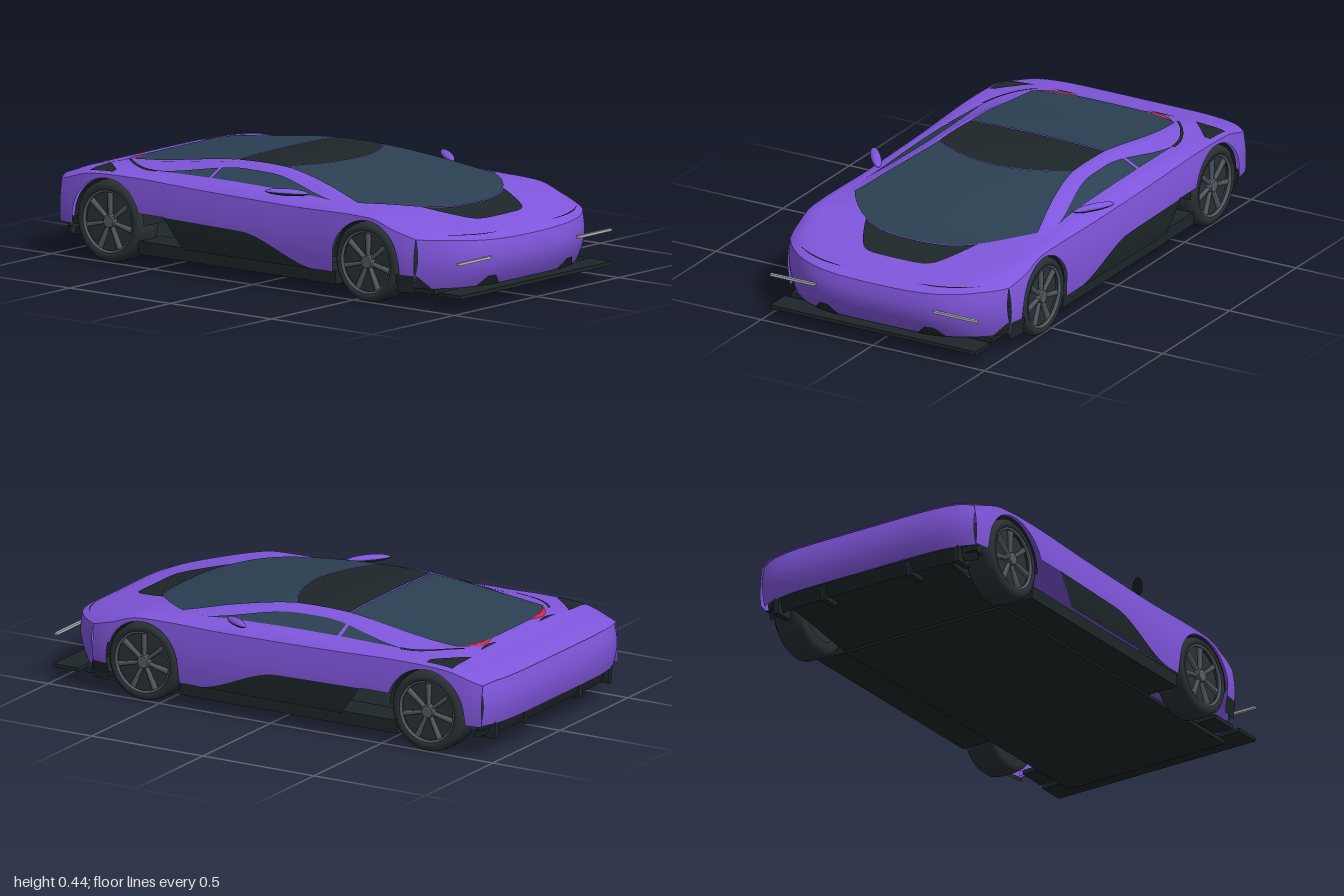
import * as THREE from 'three';

const flat = (name, color) => Object.assign(new THREE.MeshStandardMaterial({ color, side: THREE.DoubleSide }), { name });
const M = {
  paint: flat('purple paint', 0x7f56dc),
  trim: flat('black trim', 0x1d2629),
  glass: flat('tinted glass', 0x2b4053),
  tyre: flat('tyre rubber', 0x2a3135),
  rim: flat('grey rim', 0x535b63),
  red: flat('red lamp', 0xe0233f),
  lamp: flat('pale lamp', 0xb4b9bb),
};

// Length stations: centre height, roof edge x/y, belt x/y, plan half-width, shoulder height
const T = [-1, -0.95, -0.85, -0.78, -0.6, -0.25, 0, 0.25, 0.45, 0.57, 0.69, 0.82, 0.93, 0.985];
const ROWS = [
  .315, .30, .315, .42, .313, .495, .300,
  .330, .30, .330, .42, .328, .503, .312,
  .352, .31, .352, .42, .348, .512, .335,
  .370, .33, .366, .42, .357, .514, .344,
  .392, .335, .384, .425, .362, .515, .350,
  .433, .325, .425, .435, .370, .512, .340,
  .435, .32, .427, .435, .368, .510, .335,
  .412, .36, .395, .435, .360, .508, .332,
  .378, .415, .356, .45, .350, .508, .335,
  .353, .40, .348, .455, .345, .508, .333,
  .326, .36, .330, .45, .332, .510, .322,
  .297, .33, .305, .44, .310, .508, .300,
  .272, .305, .280, .43, .285, .500, .283,
  .250, .30, .260, .42, .268, .490, .270,
];
const spline = new THREE.CubicInterpolant(T, ROWS, 7);
const station = t => [...spline.evaluate(t)];
const { lerp, clamp, smoothstep } = THREE.MathUtils;
const FRONT = 0.985, REAR = -1;
const WHEELS = [{ z: 0.57, r: 0.157, arch: 0.163 }, { z: -0.71, r: 0.162, arch: 0.171 }];

// Upper skin point for plan position x at station t, with the ends rounded in plan
function skin(x, t, lift = 0) {
  const [yc, xr, yr, xb, yb, w, ye] = station(t);
  const a = Math.abs(x);
  let y;
  if (a <= xr) y = yc + (yr - yc) * (a / xr) ** 2;
  else if (a <= xb) y = lerp(yr, yb, (a - xr) / (xb - xr));
  else y = yb + (ye - yb) * Math.min(1, (a - xb) / (w - xb)) ** 2;
  const z = t - 0.2 * (a / 0.5) ** 4 * clamp((t - 0.6) / 0.385, 0, 1)
    + 0.05 * (a / 0.5) ** 6 * clamp((-t - 0.8) / 0.2, 0, 1);
  return [x, y + lift, z];
}

// Column u in -1..1 follows the roof edge and belt lines
function column(u, t) {
  const [, xr, , xb, , w] = station(t), a = Math.abs(u);
  const x = a < 0.5 ? xr * a * 2 : a < 0.75 ? lerp(xr, xb, (a - 0.5) * 4) : lerp(xb, w, (a - 0.75) * 4);
  return Math.sign(u) * x;
}

// Lower edge of the side skin: sill, side opening, tail and wheel arches
function lowerEdge(z) {
  let y = z < -0.86 ? 0.135 : z > 0.7 ? 0.075 : 0.1;
  if (z < -0.33 && z > -0.56) y = lerp(0.1, 0.215, clamp((-0.33 - z) / 0.09, 0, 1));
  for (const w of WHEELS) {
    const d = Math.abs(z - w.z);
    if (d < w.arch) y = Math.max(y, w.r + Math.sqrt(w.arch ** 2 - d * d));
  }
  return y;
}
function side(s, t, y, lift = 0) {
  const [, , , , , w, ye] = station(t);
  const k = clamp((ye - y) / (ye - 0.08), 0, 1);
  return [s * (w + 0.011 * Math.sin(Math.PI * k) + lift), y, skin(w, t)[2]];
}
function nose(x, v, lift = 0) {
  const [, y, z] = skin(x, FRONT);
  return [x, lerp(y, 0.075, v), z + 0.015 * Math.sin(Math.PI * v) - 0.03 * v * v + lift];
}
function tail(x, v) {
  const [, y, z] = skin(x, REAR);
  return [x, lerp(y, 0.135, v), z + 0.02 - 0.022 * Math.sin(Math.PI * Math.min(1, v * 0.8 + 0.1))];
}

// Sheet from a function of u, v in 0..1; faces along dv x du
function sheet(nu, nv, fn) {
  const p = [], idx = [];
  for (let i = 0; i <= nv; i++) for (let j = 0; j <= nu; j++) p.push(...fn(j / nu, i / nv));
  for (let i = 0; i < nv; i++) for (let j = 0; j < nu; j++) {
    const a = i * (nu + 1) + j, c = a + nu + 1;
    idx.push(a, c, a + 1, a + 1, c, c + 1);
  }
  const g = new THREE.BufferGeometry();
  g.setAttribute('position', new THREE.Float32BufferAttribute(p, 3));
  g.setIndex(idx);
  g.computeVertexNormals();
  return g;
}

export function createModel() {
  const car = new THREE.Group();
  car.name = 'sportsCar';
  const add = (name, geo, mat, parent = car) => {
    const m = new THREE.Mesh(geo, mat);
    m.name = name;
    parent.add(m);
    return m;
  };
  const box = (name, mat, x0, x1, y0, y1, z0, z1) => add(name, new THREE.BoxGeometry(x1 - x0, y1 - y0, z1 - z0)
    .translate((x0 + x1) / 2, (y0 + y1) / 2, (z0 + z1) / 2), mat);
  // Thin plate laid on the upper skin; f maps u, v to plan x and station
  const plate = (name, mat, f, nu = 32, nv = 24) =>
    add(name, sheet(nu, nv, (u, v) => skin(...f(u, v), 0.004)), mat);

  // Painted shell
  add('upperBody', sheet(64, 110, (u, v) => {
    const t = lerp(REAR, FRONT, v);
    return skin(column(u * 2 - 1, t), t);
  }), M.paint);
  add('noseSkin', sheet(64, 12, (u, v) => nose(column(u * 2 - 1, FRONT), v)), M.paint);
  add('tailSkin', sheet(64, 12, (u, v) => tail(column(1 - u * 2, REAR), v)), M.paint);

  // Glass, roof and hood panel
  const screenFoot = x => 0.69 - 0.24 * Math.abs(x / 0.41) ** 2.8;
  plate('windshield', M.glass, (u, v) => {
    const s = u * 2 - 1;
    return [s * (0.3 + 0.11 * v ** 1.3), lerp(0.1 - 0.1 * s * s, 0.69 - 0.24 * Math.abs(s) ** 2.8, v)];
  });
  plate('roofPanel', M.trim, (u, v) => {
    const s = u * 2 - 1;
    return [s * 0.3, lerp(-0.235, 0.098 - 0.1 * s * s, v)];
  });
  plate('rearWindow', M.glass, (u, v) => {
    const s = u * 2 - 1;
    return [s * (0.3 + 0.022 * Math.sin(v * 2.2)), lerp(-0.24, -0.78 + 0.05 * s ** 4, v)];
  });
  plate('hoodPanel', M.trim, (u, v) => {
    const s = u * 2 - 1, x = s * lerp(0.25, 0.165, v);
    return [x, lerp(screenFoot(x) + 0.003, 0.825 - 0.03 * s ** 6, v)];
  });

  for (const s of [-1, 1]) {
    // Flanks
    add('sideSkin', sheet(260, 14, (u, v) => {
      const t = lerp(FRONT, REAR, u), [, , , , , w, ye] = station(t);
      return side(s, t, lerp(ye, Math.min(ye, lowerEdge(skin(w, t)[2])), v));
    }), M.paint);
    add('lowerDoorPanel', sheet(30, 6, (u, v) => {
      const y = lerp(0.1 + 0.1 * smoothstep(u, 0, 0.5) + 0.015 * u, 0.1, v);
      return side(s, lerp(0.33, lerp(-0.42, -0.33, v), u), y, 0.004);
    }), M.trim);
    add('bumperCorner', sheet(8, 3, (u, v) => side(s, lerp(FRONT, 0.87, u), lerp(0.13, 0.06, v), 0.004)), M.trim);
    add('bumperCornerFront', sheet(8, 2, (u, v) => nose(s * lerp(0.44, 0.49, u), lerp(1 - 0.28 * u, 1, v), 0.005)), M.trim);
    add('noseNotch', sheet(6, 3, (u, v) =>
      nose(s * (0.235 + (u - 0.5) * lerp(0.04, 0.12, v)), lerp(0.78, 1, v), 0.005)), M.trim);

    // Side glass, tapering to both ends
    const belt = t => station(t)[3] - 0.004;
    const sideGlass = (name, z0, z1) => plate(name, M.glass, (u, v) => {
      const t = lerp(z0, z1, v);
      const width = 0.075 * smoothstep(0.36 - t, 0, 0.4) * (1 - smoothstep(-t, 0.15, 0.58));
      return [s * (belt(t) - width * u), t];
    }, 8, 30);
    sideGlass('doorWindow', -0.26, 0.36);
    sideGlass('quarterWindow', -0.58, -0.275);
    plate('rearPillarVent', M.trim, (u, v) => [s * (lerp(0.425, 0.315, v * v) + 0.014 * (u - 0.5)), lerp(-0.54, -0.76, v)], 3, 16);

    // Rear lamps and deck vents
    plate('tailLamp', M.red, (u, v) => {
      const x = lerp(0.14, 0.31, u);
      return [s * x, -0.782 + 0.05 * (x / 0.32) ** 4 + 0.002 - 0.022 * v * Math.sin(Math.PI * u)];
    }, 14, 2);
    plate('lampRecess', M.trim, (u, v) => [s * lerp(0.155, 0.275, u), -0.81 + 0.014 * v * Math.sin(Math.PI * u)], 10, 2);
    plate('deckVent', M.trim, (u, v) => [s * lerp(lerp(0.36, 0.47, v), 0.495, u), lerp(-0.82, -0.7, v)], 10, 10);
    plate('headlampCrease', M.trim, (u, v) => [s * lerp(0.16, 0.42, u), 0.945 + 0.006 * v * Math.sin(Math.PI * u)], 16, 1);

    // Lamps, sills and tail fins
    box('headlampBar', M.lamp, s * 0.365 - 0.1, s * 0.365 + 0.1, 0.187, 0.197, 0.982, 0.994);
    box('sideSill', M.trim, s * 0.43 - 0.07, s * 0.43 + 0.07, 0.05, 0.102, -0.57, 0.41);
    for (const x of [0.2, 0.42]) box('diffuserFin', M.trim, s * x - 0.012, s * x + 0.012, 0.075, 0.14, -0.97, -0.89);

    // Mirror with painted cap and dark underside
    const mirror = new THREE.Group();
    mirror.name = 'doorMirror';
    mirror.position.set(s * 0.488, 0.378, 0.16);
    mirror.rotation.set(0, s * 0.92, s * 0.06);
    car.add(mirror);
    add('mirrorCap', new THREE.SphereGeometry(1, 24, 8, 0, Math.PI * 2, 0, Math.PI / 2).scale(0.085, 0.015, 0.02), M.paint, mirror);
    add('mirrorBase', new THREE.SphereGeometry(1, 24, 8, 0, Math.PI * 2, Math.PI / 2, Math.PI / 2).scale(0.085, 0.013, 0.02), M.trim, mirror);

    for (const w of WHEELS) {
      // Wheel well
      add('wheelWell', sheet(2, 24, (u, v) => [s * lerp(0.28, 0.505, u),
        w.r + w.arch * Math.sin(Math.PI * v), w.z + w.arch * Math.cos(Math.PI * v)]), M.trim);
      add('wellWall', new THREE.CircleGeometry(w.arch, 24, 0, Math.PI).rotateY(Math.PI / 2)
        .translate(s * 0.28, w.r, w.z), M.trim);

      // Wheel
      const wheel = new THREE.Group();
      wheel.name = 'wheel';
      wheel.position.set(s * 0.45, w.r, w.z);
      if (s < 0) wheel.rotation.y = Math.PI;
      car.add(wheel);
      const profile = [[0.11, -0.065], [0.142, -0.065], [w.r - 0.004, -0.052], [w.r, -0.03], [w.r, 0.03],
        [w.r - 0.004, 0.052], [0.142, 0.064], [0.122, 0.062], [0.12, 0.035]].map(p => new THREE.Vector2(...p));
      add('tyre', new THREE.LatheGeometry(profile, 48).rotateZ(-Math.PI / 2), M.tyre, wheel);
      add('rimBack', new THREE.CylinderGeometry(0.121, 0.121, 0.08, 40).rotateZ(-Math.PI / 2), M.tyre, wheel);
      add('rimRing', new THREE.TorusGeometry(0.121, 0.007, 8, 48).rotateY(Math.PI / 2).translate(0.056, 0, 0), M.rim, wheel);
      add('hub', new THREE.CylinderGeometry(0.024, 0.03, 0.02, 12).rotateZ(-Math.PI / 2).translate(0.05, 0, 0), M.rim, wheel);
      for (let i = 0; i < 7; i++) {
        add('spoke', new THREE.CylinderGeometry(0.013, 0.009, 0.1, 4, 1).rotateY(Math.PI / 4).translate(0.046, 0.07, 0)
          .rotateX(i * Math.PI * 2 / 7), M.rim, wheel);
      }
    }
  }

  // Underbody, splitter and diffuser
  box('floor', M.trim, -0.365, 0.365, 0.042, 0.056, -0.58, 0.93);
  box('frontFloor', M.trim, -0.45, 0.45, 0.056, 0.074, 0.74, 0.86);
  box('splitter', M.trim, -0.46, 0.46, 0.055, 0.07, 0.89, 1);
  add('rearFloor', sheet(4, 8, (u, v) => [lerp(0.37, -0.37, u), lerp(0.05, 0.1, v), lerp(-0.57, -0.95, v)]), M.trim);
  add('rearCornerFloor', sheet(4, 2, (u, v) => [lerp(0.49, -0.49, u), 0.115, lerp(-0.885, -0.94, v)]), M.trim);
  add('diffuser', sheet(48, 4, (u, v) => {
    const [x, , z] = tail(column(1 - u * 2, REAR), 1);
    return [x * 0.985, lerp(0.14, 0.085, v), z + 0.012 + 0.02 * v];
  }), M.trim);
  return car;
}
